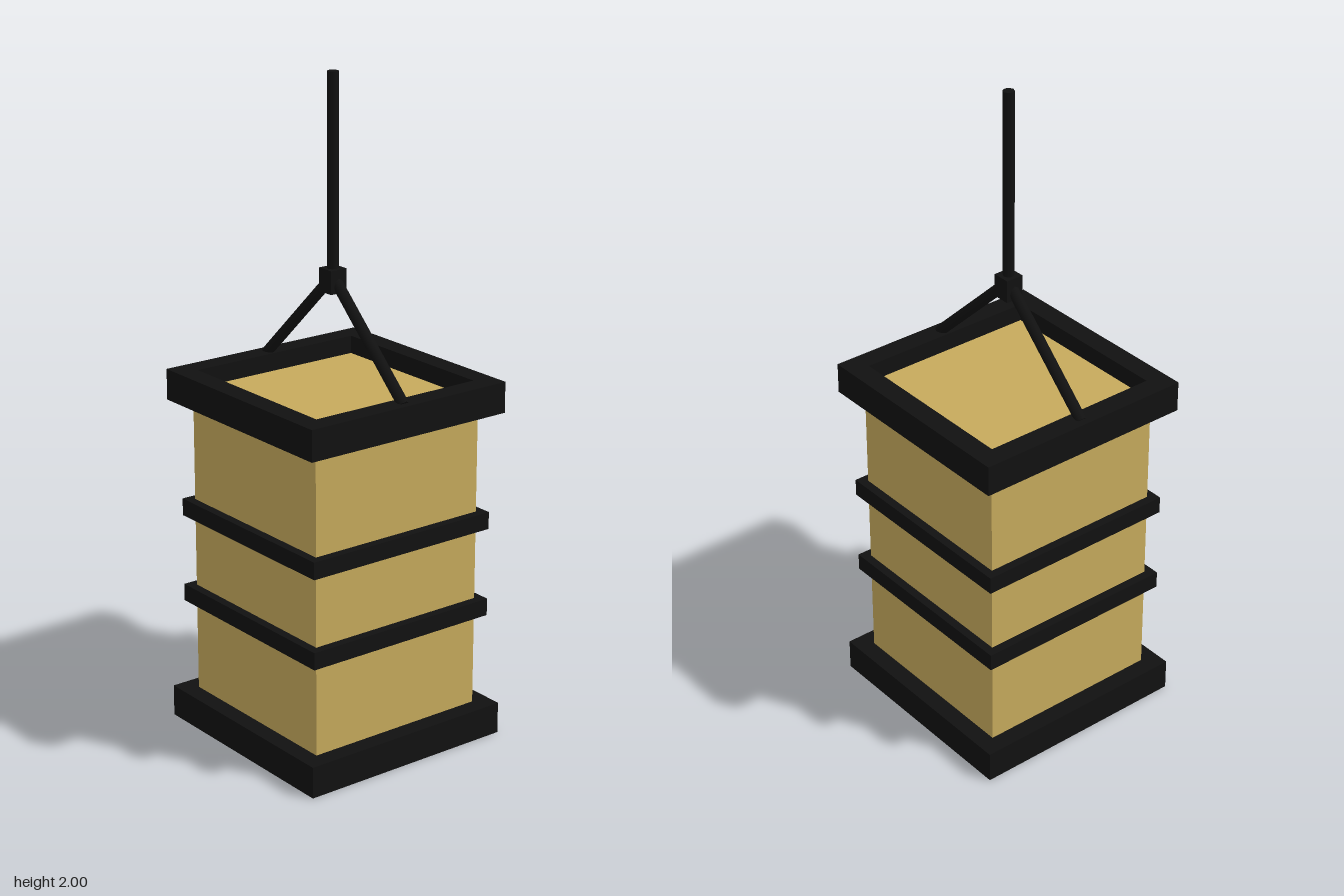
import * as THREE from 'three';

const black = new THREE.MeshStandardMaterial({ color: 0x111111 });
const paper = new THREE.MeshStandardMaterial({ color: 0xc6aa5c });

export function createModel() {
  const model = new THREE.Group();
  model.name = 'hangingLantern';

  const add = (name, geometry, material, x, y, z) => {
    const mesh = new THREE.Mesh(geometry, material);
    mesh.name = name;
    mesh.position.set(x, y, z);
    model.add(mesh);
    return mesh;
  };

  // Square ring with outer and inner half widths, lying between two heights
  const addRing = (name, outer, inner, y0, y1) => {
    const square = (Type, h) => new Type([
      new THREE.Vector2(-h, -h), new THREE.Vector2(h, -h),
      new THREE.Vector2(h, h), new THREE.Vector2(-h, h),
    ]);
    const shape = square(THREE.Shape, outer);
    shape.holes.push(square(THREE.Path, inner));
    const geometry = new THREE.ExtrudeGeometry(shape, { depth: y1 - y0, bevelEnabled: false });
    geometry.rotateX(-Math.PI / 2);
    return add(name, geometry, black, 0, y0, 0);
  };

  // Straight round bar between two points
  const addBar = (name, from, to, radius) => {
    const dir = to.clone().sub(from);
    const mid = from.clone().add(to).multiplyScalar(0.5);
    const geometry = new THREE.CylinderGeometry(radius, radius, dir.length(), 8);
    const mesh = add(name, geometry, black, mid.x, mid.y, mid.z);
    mesh.quaternion.setFromUnitVectors(new THREE.Vector3(0, 1, 0), dir.normalize());
    return mesh;
  };

  // Paper shade, its ends recessed inside the frames
  add('shade', new THREE.BoxGeometry(0.59, 1.0, 0.59), paper, 0, 0.555, 0);

  // End frames and middle bands
  addRing('bottomFrame', 0.35, 0.285, 0, 0.097);
  addRing('topFrame', 0.35, 0.285, 1.016, 1.11);
  addRing('lowerBand', 0.322, 0.285, 0.381, 0.434);
  addRing('upperBand', 0.322, 0.285, 0.655, 0.708);

  // Hanger: two sloping bars, a knot and a vertical rod
  const z = 0.006;
  const peak = new THREE.Vector3(0, 1.41, z);
  for (const [name, side] of [['leftHangerBar', 1], ['rightHangerBar', -1]]) {
    addBar(name, new THREE.Vector3(side * 0.322, 1.105, z), peak, 0.017);
  }
  add('hangerKnot', new THREE.BoxGeometry(0.056, 0.07, 0.056), black, 0, 1.398, z);
  addBar('hangerRod', new THREE.Vector3(0, 1.4, z), new THREE.Vector3(0, 2, z), 0.017);

  return model;
}
